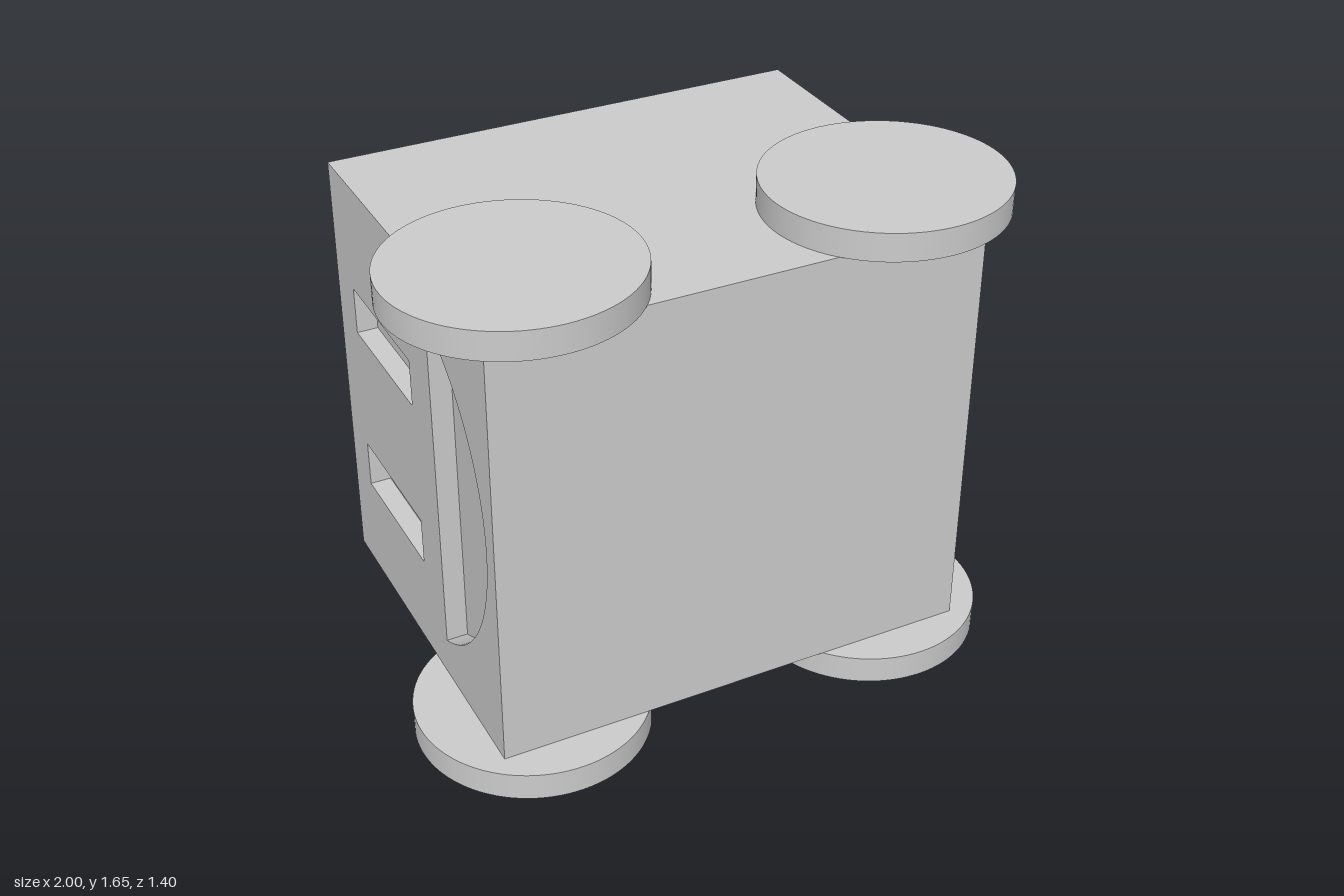
import * as THREE from 'three';
import { toCreasedNormals } from 'three/addons/utils/BufferGeometryUtils.js';

const material = new THREE.MeshStandardMaterial({ color: 0xcccccc });

// Body limits, wall thickness and depth of the shallow pockets
const X0 = -0.8, X1 = 0.82, Y0 = 0.093, Y1 = 1.56, Z0 = -0.7, Z1 = 0.56;
const WALL = 0.155, POCKET = 0.07, DISC = 0.093;

function rect(PathType, x0, y0, x1, y1) {
  const p = new PathType();
  p.moveTo(x0, y0);
  p.lineTo(x1, y0);
  p.lineTo(x1, y1);
  p.lineTo(x0, y1);
  p.closePath();
  return p;
}

function extrude(outline, holes, depth) {
  outline.holes.push(...holes);
  const geometry = new THREE.ExtrudeGeometry(outline, { depth, bevelEnabled: false, curveSegments: 48 });
  return toCreasedNormals(geometry, 0.6);
}

export function createModel() {
  const group = new THREE.Group();
  const add = (name, geometry, x = 0, y = 0, z = 0) => {
    const mesh = new THREE.Mesh(geometry, material);
    mesh.name = name;
    mesh.position.set(x, y, z);
    group.add(mesh);
    return mesh;
  };

  // Hollow housing, open at the back
  const opening = rect(THREE.Path, X0 + WALL, Y0 + WALL, X1 - WALL, Y1 - WALL);
  const ring = rect(THREE.Shape, X0 + POCKET, Y0 + POCKET, X1, Y1);
  add('housing', extrude(ring, [opening], Z1 - WALL - Z0), 0, 0, Z0);

  // Closed front wall
  const front = rect(THREE.Shape, X0 + POCKET, Y0 + POCKET, X1, Y1);
  add('frontWall', extrude(front, [], WALL), 0, 0, Z1 - WALL);

  // Right skin, drawn with horizontal = -z: two slots and a circle segment
  const segment = new THREE.Path();
  segment.absarc(0.14, 0.82, 0.64, 1.97, 4.313, false);
  segment.closePath();
  const slots = [0.43, 1.02].map((y) => rect(THREE.Path, 0.06, y, 0.55, y + 0.16));
  const side = rect(THREE.Shape, -Z1, Y0 + POCKET, -Z0, Y1);
  add('rightPanel', extrude(side, [segment, ...slots], POCKET).rotateY(Math.PI / 2), X0);

  // Bottom skin, drawn with vertical = -z: round pocket
  const round = new THREE.Path();
  round.absarc(0.2, 0.435, 0.23, 0, Math.PI * 2, false);
  const base = rect(THREE.Shape, X0, -Z1, X1, -Z0);
  add('bottomPanel', extrude(base, [round], POCKET).rotateX(-Math.PI / 2), 0, Y0);

  // Flat discs on the front corners, above and below
  const disc = new THREE.CylinderGeometry(0.38, 0.38, DISC, 96);
  for (const [label, s] of [['Left', 1], ['Right', -1]]) {
    add('top' + label + 'Disc', disc, s * 0.61, Y1 + DISC / 2, 0.318).scale.x = 0.39 / 0.38;
    add('bottom' + label + 'Disc', disc, s * 0.61 + 0.01, DISC / 2, 0.318);
  }
  return group;
}
